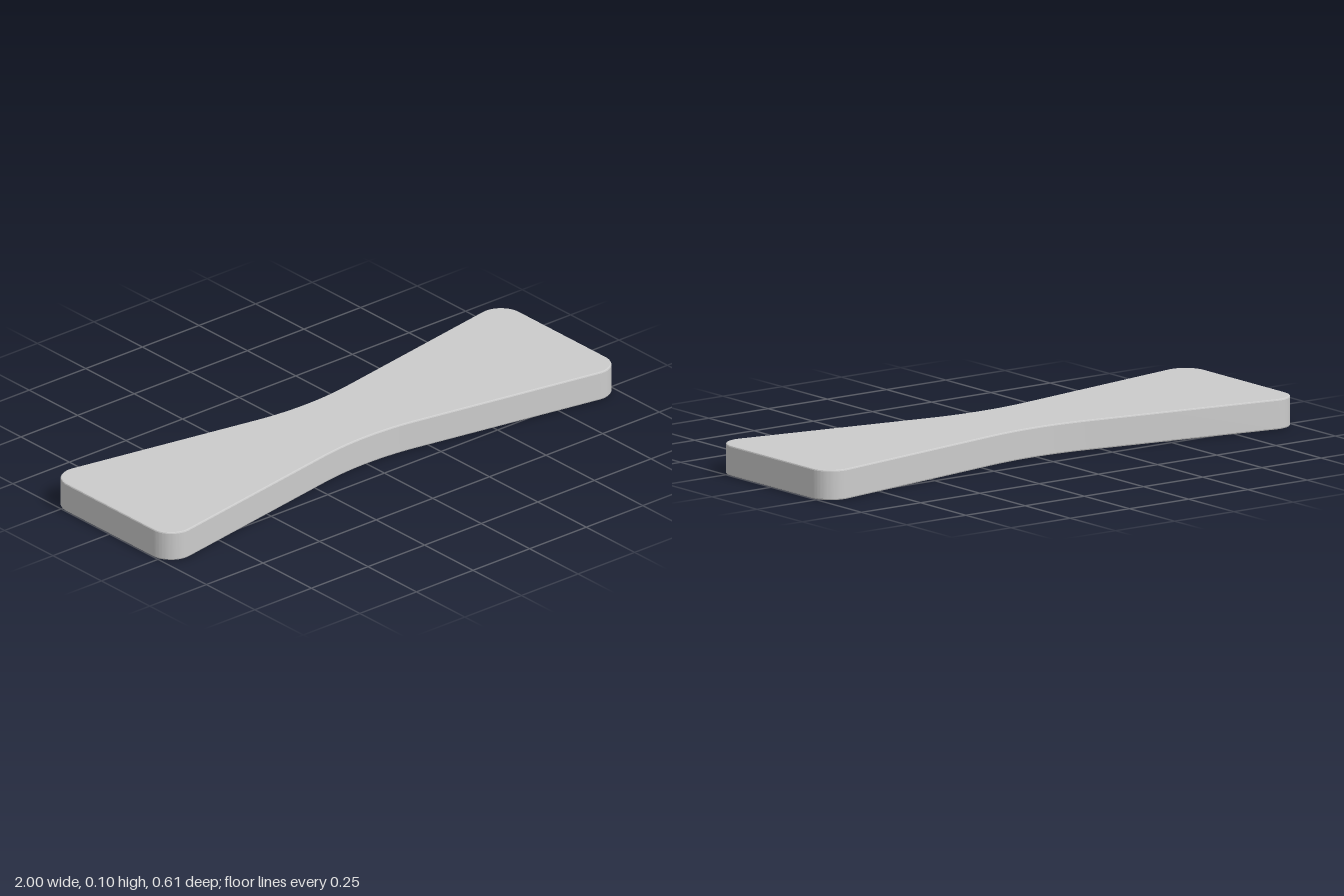
import * as THREE from 'three';
import { toCreasedNormals } from 'three/addons/utils/BufferGeometryUtils.js';

const HEIGHT = 0.104;
const BEVEL = 0.005;
const FLARE = 10;          // degrees the long edges open towards the ends
const CORNER = 0.08;       // corner radius
const CORNER_Z = 0.224;    // corner centre, across
const WAIST = 0.16;        // half depth in the middle
const WAIST_RADIUS = 1.17;

// Waisted outline: four rounded corners joined by two shallow concave arcs
function outline() {
  const shape = new THREE.Shape();
  const arc = (x, y, r, from, to) => shape.absarc(
    x, y, r, THREE.MathUtils.degToRad(from), THREE.MathUtils.degToRad(to), to < from);
  const cx = 1 - CORNER;
  const wy = WAIST + WAIST_RADIUS;
  arc(cx, CORNER_Z, CORNER, 0, 90 + FLARE);
  arc(0, wy, WAIST_RADIUS, -90 + FLARE, -90 - FLARE);
  arc(-cx, CORNER_Z, CORNER, 90 - FLARE, 180);
  arc(-cx, -CORNER_Z, CORNER, 180, 270 + FLARE);
  arc(0, -wy, WAIST_RADIUS, 90 + FLARE, 90 - FLARE);
  arc(cx, -CORNER_Z, CORNER, 270 - FLARE, 360);
  return shape;
}

export function createModel() {
  const group = new THREE.Group();
  group.name = 'waistedPlate';

  // Flat slab with finely softened top and bottom rims
  const slab = new THREE.ExtrudeGeometry(outline(), {
    depth: HEIGHT - 2 * BEVEL,
    bevelThickness: BEVEL,
    bevelSize: BEVEL,
    bevelOffset: -BEVEL,
    bevelSegments: 2,
    curveSegments: 12,
  });
  slab.rotateX(-Math.PI / 2);
  slab.translate(0, BEVEL, 0);

  const plate = new THREE.Mesh(
    toCreasedNormals(slab, 0.2),
    new THREE.MeshStandardMaterial({ color: 0xcccccc }));
  plate.name = 'plate';
  group.add(plate);
  return group;
}
